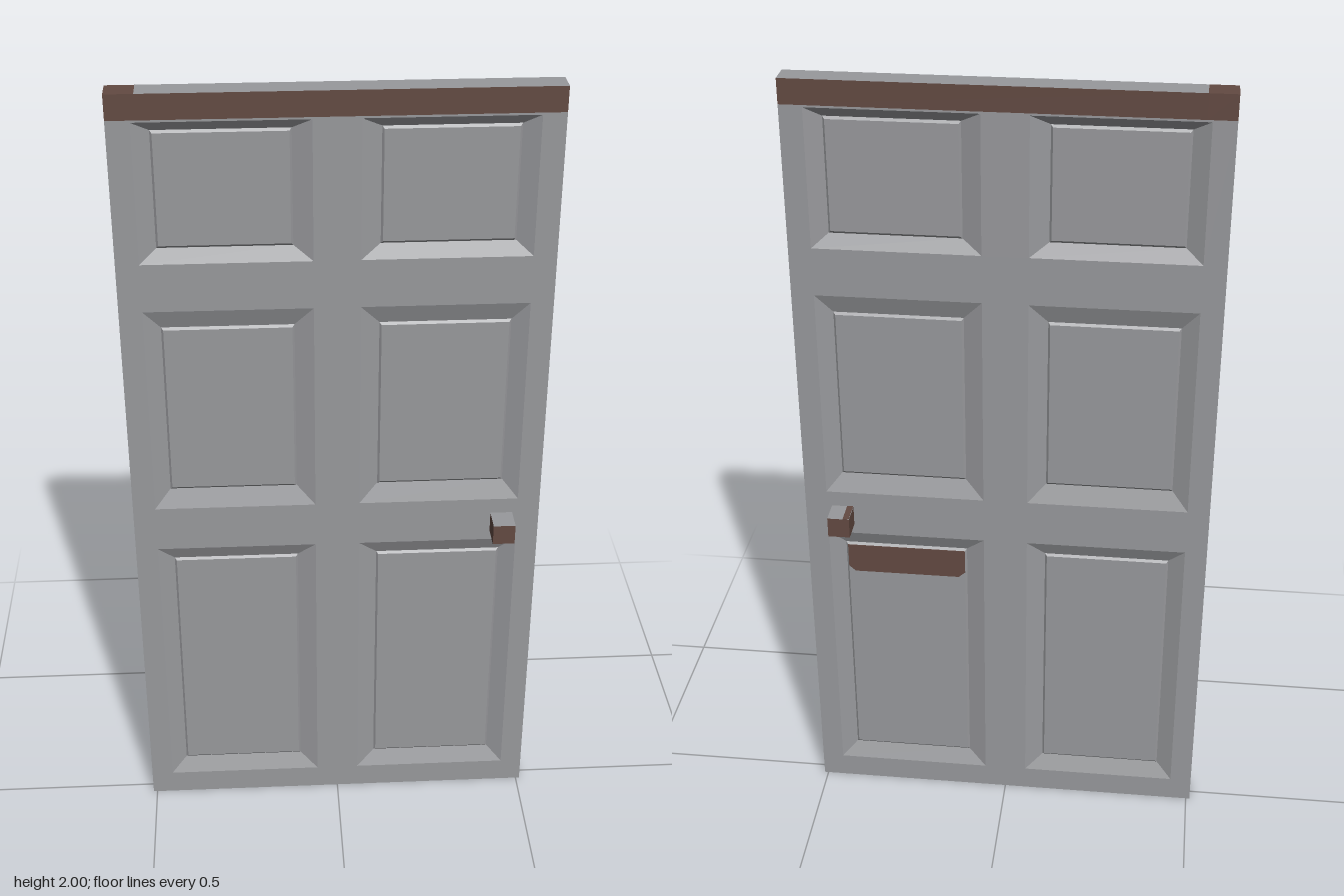
import * as THREE from 'three';

const W = 0.51, T = 0.03, STRIP_Y = 1.94;

// Rows of panels: [recess bottom, recess top, field bottom, field top]
const ROWS = [[0.065, 0.81, 0.115, 0.765], [0.93, 1.475, 0.985, 1.42], [1.595, 1.935, 1.635, 1.905]];

// Nested rectangles [x0, x1, y0, y1, z] joined by sloped bands, closed by a flat field
function nestedRects(rects) {
  const pos = [];
  const corners = ([x0, x1, y0, y1, z]) => [[x0, y0, z], [x1, y0, z], [x1, y1, z], [x0, y1, z]];
  const quad = (a, b, c, d) => pos.push(...a, ...b, ...c, ...a, ...c, ...d);
  for (let i = 0; i < rects.length - 1; i++) {
    const o = corners(rects[i]), n = corners(rects[i + 1]);
    for (let k = 0; k < 4; k++) {
      const m = (k + 1) % 4;
      quad(o[k], o[m], n[m], n[k]);
    }
  }
  quad(...corners(rects[rects.length - 1]));
  const g = new THREE.BufferGeometry();
  g.setAttribute('position', new THREE.Float32BufferAttribute(pos, 3));
  g.computeVertexNormals();
  return g;
}

export function createModel() {
  const grey = new THREE.MeshStandardMaterial({ color: 0x98999c });
  grey.name = 'grey paint';
  const brown = new THREE.MeshStandardMaterial({ color: 0x634a42 });
  brown.name = 'brown';

  const door = new THREE.Group();
  door.name = 'door';
  const add = (name, geo, mat, x = 0, y = 0, z = 0, parent = door) => {
    const m = new THREE.Mesh(geo, mat);
    m.name = name;
    m.position.set(x, y, z);
    parent.add(m);
    return m;
  };

  // Frame with six openings
  const frame = new THREE.Shape([[-W, 0], [W, 0], [W, STRIP_Y], [-W, STRIP_Y]].map(p => new THREE.Vector2(...p)));
  for (const side of [-1, 1]) {
    for (const [y0, y1] of ROWS) {
      const a = side * 0.255 - 0.2, b = side * 0.255 + 0.2;
      frame.holes.push(new THREE.Path([[a, y0], [a, y1], [b, y1], [b, y0]].map(p => new THREE.Vector2(...p))));
    }
  }
  add('doorFrame', new THREE.ExtrudeGeometry(frame, { depth: 2 * T, bevelEnabled: false }), grey, 0, 0, -T);

  // Bevelled panels on both faces
  const groove = T - 0.018, field = T - 0.013;
  for (const face of ['front', 'back']) {
    const panels = new THREE.Group();
    panels.name = face + 'Panels';
    if (face === 'back') panels.rotation.y = Math.PI;
    door.add(panels);
    for (const side of [-1, 1]) {
      const c = side * 0.2575;
      for (const [y0, y1, f0, f1] of ROWS) {
        add('panel', nestedRects([
          [side * 0.255 - 0.2, side * 0.255 + 0.2, y0, y1, T],
          [c - 0.157, c + 0.157, f0 - 0.006, f1 + 0.006, groove],
          [c - 0.152, c + 0.152, f0, f1, field],
        ]), grey, 0, 0, 0, panels);
      }
    }
  }

  // Top rail: brown sides, grey top except for a brown end
  const h = 2 - STRIP_Y, split = -0.443;
  const greyTop = [brown, brown, grey, brown, brown, brown];
  add('topRail', new THREE.BoxGeometry(W - split, h, 2 * T), greyTop, (W + split) / 2, STRIP_Y + h / 2);
  add('topRailEnd', new THREE.BoxGeometry(W + split, h, 2 * T), brown, (split - W) / 2, STRIP_Y + h / 2);

  // Square knobs on both faces
  for (const s of [1, -1]) {
    add(s > 0 ? 'frontKnob' : 'backKnob', new THREE.BoxGeometry(0.055, 0.053, 0.064), greyTop, 0.415, 0.863, s * 0.061);
  }
  add('knobEdge', new THREE.BoxGeometry(0.015, 0.002, 0.063), brown, 0.396, 0.8895, -0.061);

  // Brown patch along the top of a lower back panel
  const patch = new THREE.Shape([[-0.152, 0], [0.152, 0], [0.152, -0.065], [0.135, -0.08], [-0.135, -0.08], [-0.152, -0.065]]
    .map(p => new THREE.Vector2(...p)));
  add('backPatch', new THREE.ExtrudeGeometry(patch, { depth: 0.002, bevelEnabled: false }), brown, 0.2575, 0.765, -field - 0.0015);

  return door;
}
